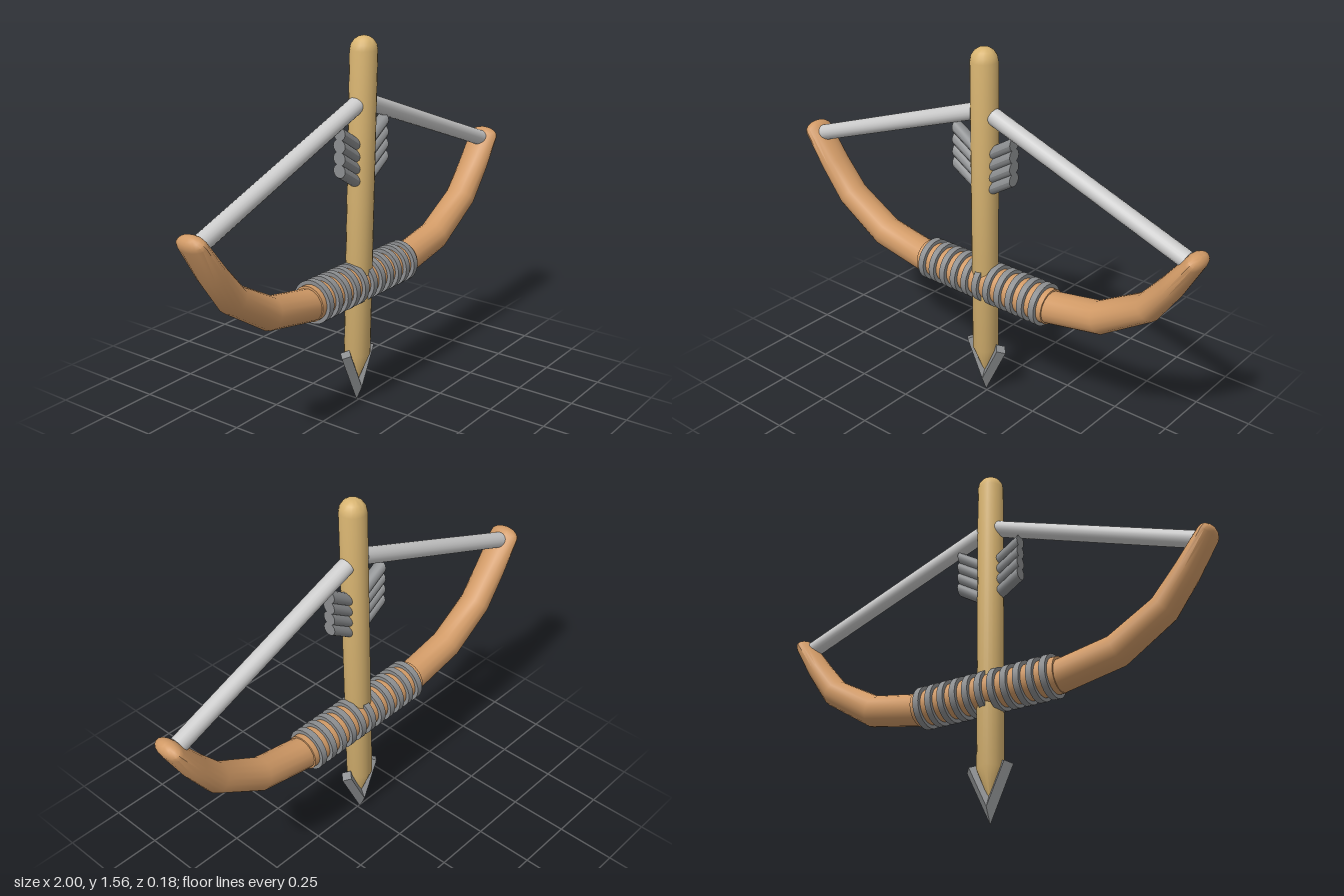
import * as THREE from 'three';
import { toCreasedNormals } from 'three/addons/utils/BufferGeometryUtils.js';

const paint = (color) => new THREE.MeshStandardMaterial({ color });

// Sweeps an elliptical section along stations [x, y, z, halfInPlane, halfDepth], with mitred bends.
function sweep(stations, sides) {
  const pos = [], index = [], last = stations.length - 1;
  const dir = (i) => new THREE.Vector2(
    stations[i + 1][0] - stations[i][0], stations[i + 1][1] - stations[i][1]).normalize();
  stations.forEach(([x, y, z, a, b], i) => {
    const before = dir(Math.max(i - 1, 0)), after = dir(Math.min(i, last - 1));
    const t = before.clone().add(after).normalize();
    const mitre = a / Math.max(t.dot(after), 0.3);
    for (let j = 0; j < sides; j++) {
      const th = (j / sides) * Math.PI * 2, c = Math.cos(th) * mitre;
      pos.push(x - t.y * c, y + t.x * c, z + Math.sin(th) * b);
    }
  });
  for (let i = 0; i < last; i++) for (let j = 0; j < sides; j++) {
    const k = (j + 1) % sides, r = i * sides, s = r + sides;
    index.push(r + j, r + k, s + k, r + j, s + k, s + j);
  }
  // end caps
  const n = pos.length / 3;
  pos.push(...stations[0].slice(0, 3), ...stations[last].slice(0, 3));
  for (let j = 0; j < sides; j++) {
    const k = (j + 1) % sides;
    index.push(n, k, j, n + 1, last * sides + j, last * sides + k);
  }
  const geo = new THREE.BufferGeometry();
  geo.setAttribute('position', new THREE.Float32BufferAttribute(pos, 3));
  geo.setIndex(index);
  return toCreasedNormals(geo, 0.6);
}

// Rounded end: stations that continue from `end`, away from `prev`.
function dome(prev, end, length) {
  const p = new THREE.Vector3(...end), d = p.clone().sub(new THREE.Vector3(...prev)).normalize();
  return [0.4, 0.8, 1.15, 1.45].map((t) => {
    const q = p.clone().addScaledVector(d, Math.sin(t) * length);
    return [q.x, q.y, q.z, end[3] * Math.cos(t), end[4] * Math.cos(t)];
  });
}

export function createModel() {
  const model = new THREE.Group();
  const wood = paint(0xd19a66), shaftWood = paint(0xd8b471);
  const pale = paint(0xcccccc), grey = paint(0x8c8e90);
  const add = (name, geo, mat, parent = model) => {
    const mesh = new THREE.Mesh(geo, mat);
    mesh.name = name;
    parent.add(mesh);
    return mesh;
  };

  // Bow: flattened limbs tapering to rounded tips
  const limbs = [
    [-0.963, 0.985, 0.005, 0.036, 0.068], [-0.87, 0.85, 0.003, 0.049, 0.068],
    [-0.77, 0.722, 0, 0.058, 0.068], [-0.57, 0.598, -0.002, 0.066, 0.068],
    [-0.33, 0.55, -0.003, 0.067, 0.068], [0.33, 0.545, -0.003, 0.067, 0.068],
    [0.565, 0.588, -0.002, 0.066, 0.068], [0.778, 0.716, 0, 0.058, 0.068],
    [0.875, 0.84, 0.003, 0.049, 0.068], [0.963, 0.97, 0.005, 0.036, 0.068],
  ];
  add('bow', sweep([
    ...dome(limbs[1], limbs[0], 0.038).reverse(), ...limbs,
    ...dome(limbs[8], limbs[9], 0.038),
  ], 16), wood);

  // Grip with its wrapping rings
  const grip = new THREE.Group();
  grip.name = 'grip';
  grip.position.set(0, 0.55, -0.004);
  grip.rotation.z = -0.012;
  model.add(grip);
  const lying = (r, len) => new THREE.CylinderGeometry(r, r, len, 32).rotateZ(Math.PI / 2);
  add('gripCore', lying(0.074, 0.66), wood, grip);
  for (let i = -5; i <= 5; i++) add('gripRing', lying(0.09, 0.027), grey, grip).position.x = i * 0.0585;

  // Arrow shaft: domed top, cone at the bottom, leaning slightly
  const foot = [-0.009, 0.23, -0.003, 0.055, 0.056], top = [0.003, 1.51, 0.02, 0.055, 0.056];
  add('arrowShaft', sweep([
    [-0.01, 0.1, -0.004, 0.004, 0.004], foot, top, ...dome(foot, top, 0.056),
  ], 20), shaftWood);

  // Arrowhead: diamond-section chevron
  add('arrowHead', sweep([
    [-0.088, 0.245, -0.004, 0.028, 0.028], [-0.009, 0.073, -0.006, 0.028, 0.028],
    [0.073, 0.243, -0.004, 0.028, 0.028],
  ], 4), grey);

  // Bowstring halves
  add('stringRight', sweep([
    [-0.93, 0.974, 0.005, 0.034, 0.036], [-0.04, 1.298, 0.015, 0.034, 0.036]], 18), pale);
  add('stringLeft', sweep([
    [0.045, 1.295, 0.015, 0.034, 0.036], [0.925, 0.965, 0.005, 0.034, 0.036]], 18), pale);

  // Fletching: rods sheared upward so their outer ends stay vertical
  for (const side of [-1, 1]) for (let i = 0; i < 4; i++) {
    const geo = new THREE.CylinderGeometry(0.029, 0.029, 0.145, 14).rotateZ(Math.PI / 2);
    const p = geo.attributes.position;
    for (let v = 0; v < p.count; v++) p.setY(v, p.getY(v) + side * p.getX(v) * 0.62);
    geo.computeVertexNormals();
    add('fletching', geo, grey).position.set(side * 0.0735, 1.01 + i * 0.05, 0.012);
  }
  return model;
}
